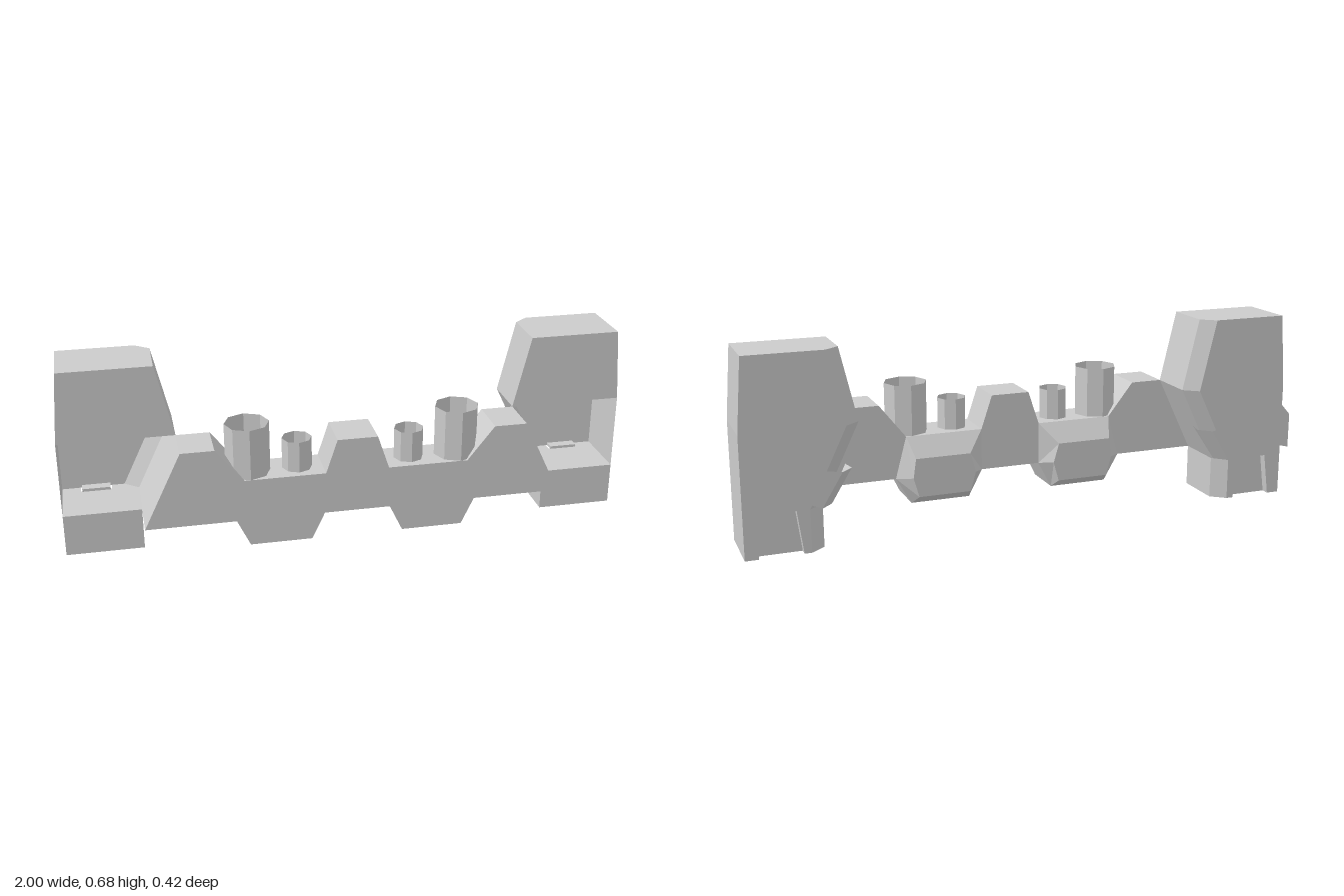
import * as THREE from 'three';

const material = new THREE.MeshStandardMaterial({ color: 0xcccccc, flatShading: true, side: THREE.DoubleSide });

// Joins rings of [x, y, z] points; rings run counter-clockwise seen from the end of the axis.
function loft(rings, axis, closed = true) {
  const pos = [];
  const tri = (a, b, c) => pos.push(...a, ...b, ...c);
  const n = rings[0].length;
  for (let r = 0; r < rings.length - 1; r++) {
    const lo = rings[r], hi = rings[r + 1];
    for (let i = 0; i < (closed ? n : n - 1); i++) {
      const j = (i + 1) % n;
      tri(lo[i], lo[j], hi[j]);
      tri(lo[i], hi[j], hi[i]);
    }
  }
  if (closed) {
    const cap = (ring, flip) => {
      const flat = ring.map(([x, y, z]) => new THREE.Vector2(x, axis === 'y' ? -z : y));
      for (const [a, b, c] of THREE.ShapeUtils.triangulateShape(flat, [])) {
        flip ? tri(ring[a], ring[c], ring[b]) : tri(ring[a], ring[b], ring[c]);
      }
    };
    cap(rings[0], true);
    cap(rings[rings.length - 1], false);
  }
  const g = new THREE.BufferGeometry();
  g.setAttribute('position', new THREE.Float32BufferAttribute(pos, 3));
  g.computeVertexNormals();
  return g;
}

// Copy reflected in x, with the triangle winding restored.
function mirrored(geometry) {
  const g = geometry.index ? geometry.toNonIndexed() : geometry.clone();
  g.scale(-1, 1, 1);
  const p = g.attributes.position;
  for (let i = 0; i < p.count; i += 3) {
    const b = [p.getX(i + 1), p.getY(i + 1), p.getZ(i + 1)];
    p.setXYZ(i + 1, p.getX(i + 2), p.getY(i + 2), p.getZ(i + 2));
    p.setXYZ(i + 2, ...b);
  }
  g.computeVertexNormals();
  return g;
}

const shapeOf = (points) => new THREE.Shape(points.map(([x, y]) => new THREE.Vector2(x, y)));

const FRONT = 0.055, BACK = -0.16;

// Horizontal tower section with a chamfered inner back corner
function towerRing(y, inner, outer, notch = 0) {
  const ring = [[outer, y, FRONT], [outer, y, BACK]];
  if (notch) {
    ring.push([0.88 + notch, y, BACK], [0.88 + notch, y, BACK + 0.03],
      [0.88 - notch, y, BACK + 0.03], [0.88 - notch, y, BACK]);
  }
  ring.push([inner + 0.05, y, BACK], [inner, y, -0.12], [inner, y, FRONT]);
  return ring;
}

export function createModel() {
  const model = new THREE.Group();
  const add = (name, geometry, parent = model) => {
    const mesh = new THREE.Mesh(geometry, material);
    mesh.name = name;
    parent.add(mesh);
  };

  // Front bar: stepped outline, symmetric in x
  const half = [[0.07, 0.42], [0.11, 0.3], [0.39, 0.3], [0.485, 0.42], [0.6, 0.42],
    [0.73, 0.15], [0.42, 0.15], [0.375, 0.055], [0.16, 0.055], [0.115, 0.15]];
  const outline = [...half, ...half.map(([x, y]) => [-x, y]).reverse()];
  const bar = new THREE.ExtrudeGeometry(shapeOf(outline), { depth: 0.155, bevelEnabled: false });
  bar.translate(0, 0, FRONT);
  add('frontBar', bar);

  // Parts of one side
  const parts = {
    towerHead: loft([towerRing(0.42, 0.6, 1), towerRing(0.675, 0.66, 0.98)], 'y'),
    towerShell: loft([towerRing(0.15, 0.73, 1), towerRing(0.42, 0.6, 1)], 'y', false),
    towerFoot: loft([towerRing(0, 0.73, 1, 0.075), towerRing(0.15, 0.73, 1, 0.055)], 'y'),
  };

  // Cap of the foot notch, just above the recess floor
  parts.notchCap = new THREE.BoxGeometry(0.1, 0.01, 0.035);
  parts.notchCap.translate(0.88, 0.155, BACK + 0.018);

  // Thin strap behind the tower, wrapping its inner back corner
  parts.backStrap = new THREE.ShapeGeometry(shapeOf([[1, 0.315], [0.945, 0.377], [0.82, 0.36],
    [0.765, 0.295], [0.68, 0.28], [0.75, 0.165], [0.88, 0.22], [1, 0.19]]));
  parts.backStrap.translate(0, 0, -0.21);
  parts.strapCorner = loft([
    [[0.75, 0.165, -0.21], [0.71, 0.165, -0.17], [0.705, 0.165, -0.12]],
    [[0.68, 0.28, -0.21], [0.64, 0.28, -0.17], [0.65, 0.28, -0.12]],
  ], 'y', false);

  // Faceted pod on the back of the bar
  const podBack = [[0.37, 0.23], [0.17, 0.23], [0.15, 0.16], [0.17, 0.09], [0.36, 0.09], [0.38, 0.16]];
  const podBase = [[0.39, 0.3], [0.11, 0.3], [0.11, 0.15], [0.16, 0.055], [0.375, 0.055], [0.43, 0.15]];
  parts.rearPod = loft([podBack.map(([x, y]) => [x, y, 0.005]), podBase.map(([x, y]) => [x, y, FRONT])], 'z');

  // Open eight-sided tubes standing on the bar
  for (const [name, x, radius, top] of [['largeTube', 0.367, 0.077, 0.48], ['smallTube', 0.197, 0.052, 0.41]]) {
    parts[name] = new THREE.CylinderGeometry(radius, radius, top - 0.3, 8, 1, true);
    parts[name].translate(x, (top + 0.3) / 2, 0.133);
  }

  const left = new THREE.Group();
  left.name = 'leftSide';
  const right = new THREE.Group();
  right.name = 'rightSide';
  for (const [name, geometry] of Object.entries(parts)) {
    add(name, geometry, left);
    add(name, mirrored(geometry), right);
  }
  model.add(left, right);
  return model;
}
